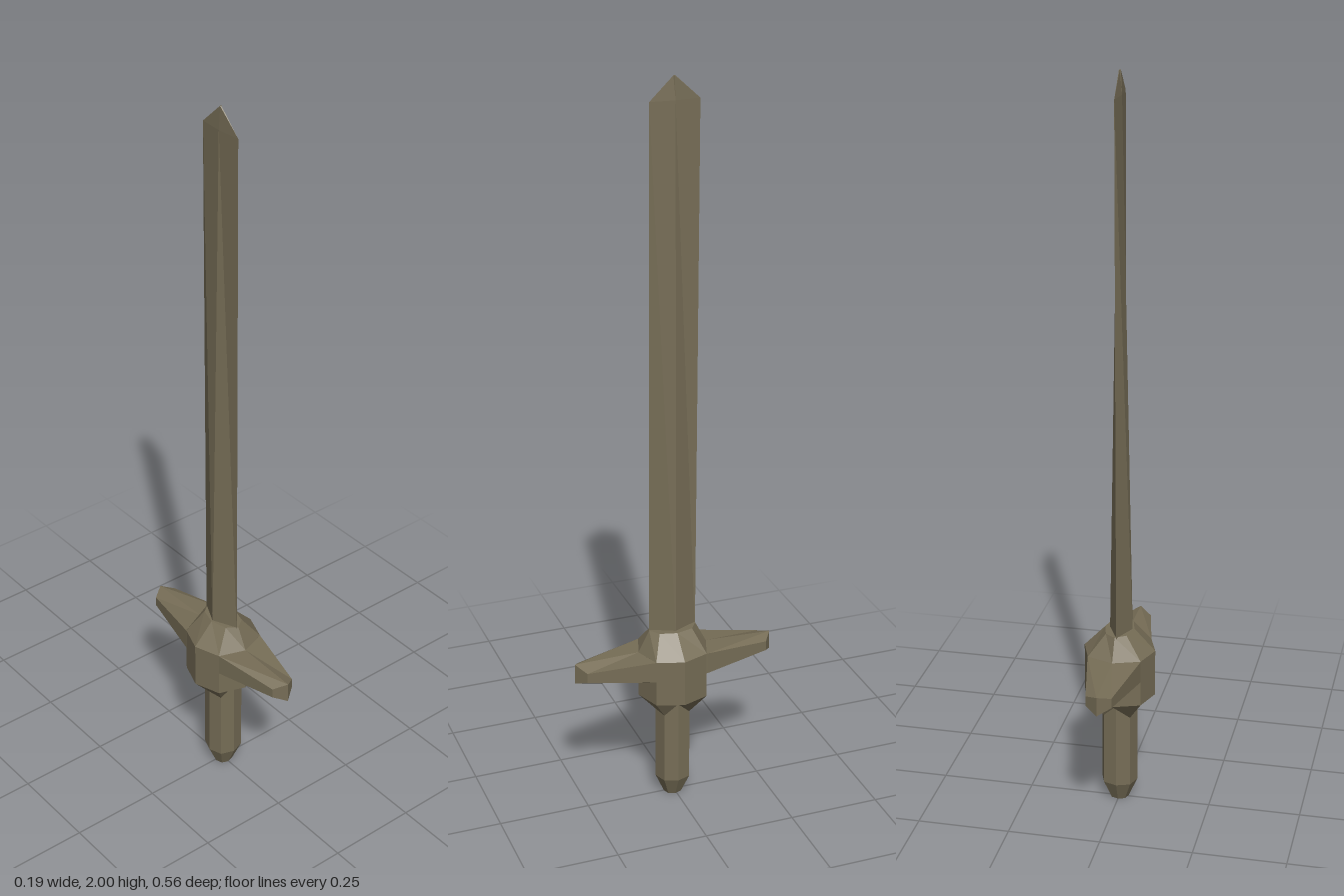
import * as THREE from 'three';

const metal = new THREE.MeshStandardMaterial({ color: 0x766d56, flatShading: true });
metal.name = 'weathered bronze';

// Skin a list of equal-length point rings, close both ends, keep facets flat
function loft(name, rings) {
  const pos = [];
  const tri = (...pts) => pts.forEach((p) => pos.push(...p));
  const n = rings[0].length;
  for (let r = 0; r < rings.length - 1; r++) {
    const a = rings[r], b = rings[r + 1];
    for (let i = 0; i < n; i++) {
      const j = (i + 1) % n;
      tri(a[i], b[i], b[j]);
      tri(a[i], b[j], a[j]);
    }
  }
  const first = rings[0], last = rings[rings.length - 1];
  for (let i = 1; i < n - 1; i++) {
    tri(first[0], first[i], first[i + 1]);
    tri(last[0], last[i + 1], last[i]);
  }
  const geo = new THREE.BufferGeometry();
  geo.setAttribute('position', new THREE.Float32BufferAttribute(pos, 3));
  geo.computeVertexNormals();
  const mesh = new THREE.Mesh(geo, metal);
  mesh.name = name;
  return mesh;
}

// Octagon with corners on the axes; diagonal corners may sit at another height
function octagon(y, rx, rz, diagonal = 0.74, yDiagonal = y) {
  return Array.from({ length: 8 }, (_, i) => {
    const odd = i % 2;
    const k = odd ? diagonal * Math.SQRT2 : 1;
    const a = (i * Math.PI) / 4;
    return [Math.cos(a) * rx * k, odd ? yDiagonal : y, 0.004 + Math.sin(a) * rz * k];
  });
}

// Diamond blade section
function diamond(y, x0, x1, z0, z1) {
  const cx = (x0 + x1) / 2, cz = (z0 + z1) / 2;
  return [[x1, y, cz], [cx, y, z1], [x0, y, cz], [cx, y, z0]];
}

// Six-sided guard section: ridge above and below, upright side edges
function guardRing(zMid, zSide, x, top, bottom, sideTop, sideBottom) {
  return [
    [0, top, zMid], [x, sideTop, zSide], [x, sideBottom, zSide],
    [0, bottom, zMid], [-x, sideBottom, zSide], [-x, sideTop, zSide],
  ];
}

export function createModel() {
  const model = new THREE.Group();
  model.name = 'sword';

  // Tapering blade ending in a shallow point
  model.add(loft('blade', [
    diamond(0.48, -0.036, 0.027, -0.063, 0.069),
    diamond(1.94, -0.007, 0.003, -0.07, 0.062),
    diamond(2.0, -0.004, 0.001, -0.005, 0),
  ]));

  // Faceted hub with a scalloped underside
  model.add(loft('hub', [
    octagon(0.295, 0.048, 0.048, 0.74, 0.26),
    octagon(0.32, 0.097, 0.097),
    octagon(0.45, 0.097, 0.097),
    octagon(0.51, 0.04, 0.066, 0.7),
  ]));

  // Crossguard running front to back
  model.add(loft('crossguard', [
    guardRing(-0.28, -0.256, 0.034, 0.443, 0.39, 0.432, 0.405),
    guardRing(-0.095, -0.07, 0.072, 0.45, 0.39, 0.45, 0.39),
    guardRing(0.1, 0.075, 0.072, 0.45, 0.39, 0.45, 0.39),
    guardRing(0.28, 0.256, 0.034, 0.447, 0.39, 0.432, 0.405),
  ]));

  // Grip narrowing at the pommel end
  model.add(loft('grip', [
    octagon(0, 0.025, 0.025),
    octagon(0.055, 0.049, 0.049),
    octagon(0.31, 0.049, 0.049),
  ]));

  return model;
}
